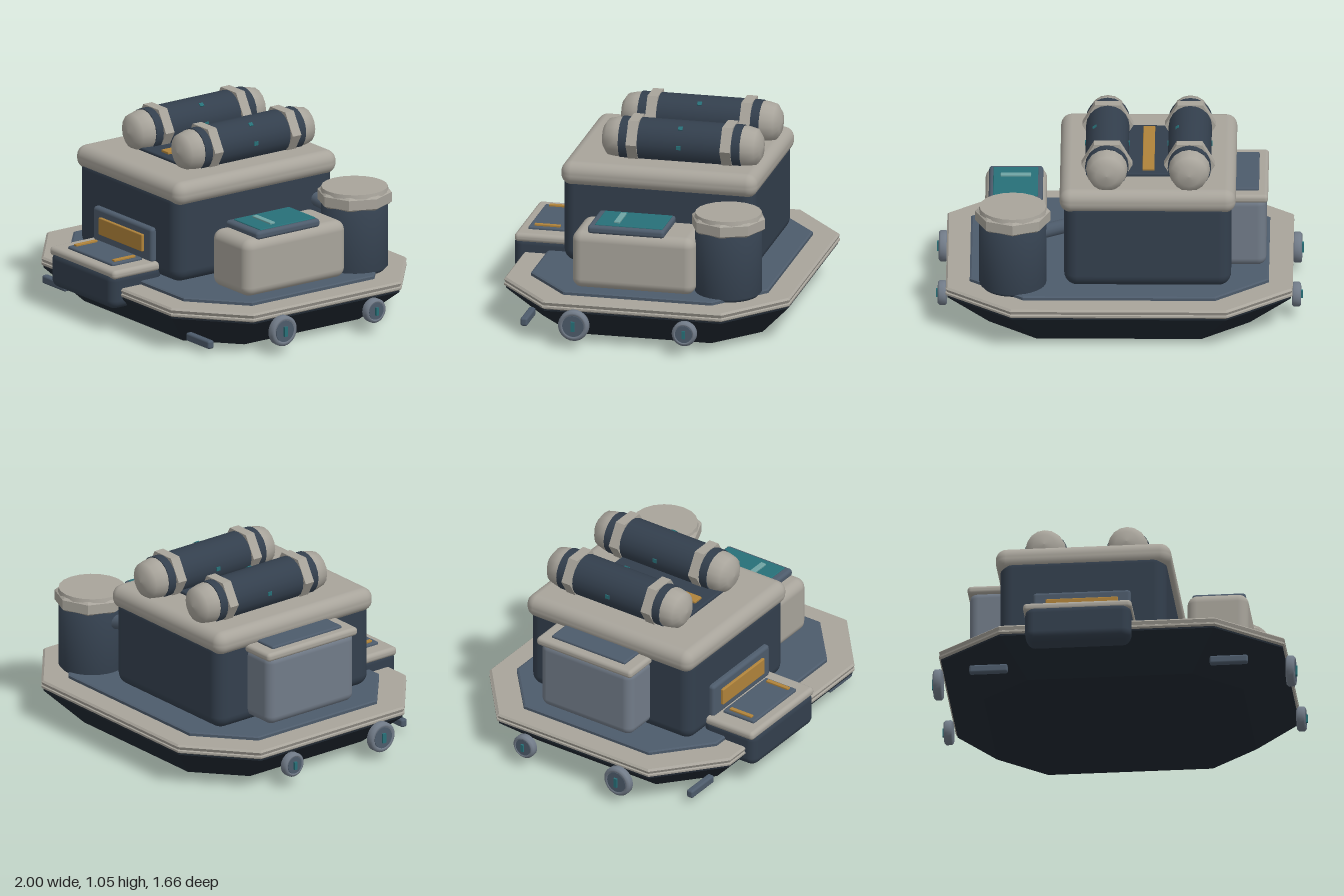
import * as THREE from 'three';
import { RoundedBoxGeometry } from 'three/addons/geometries/RoundedBoxGeometry.js';

const mat = (color, flatShading = false) => new THREE.MeshStandardMaterial({ color, flatShading });
const M = {
  hull: mat(0x202831, true), navy: mat(0x333f4d), slate: mat(0x4d5b6b), steel: mat(0x717b88),
  grey: mat(0xa8a49b), greyFlat: mat(0xa8a49b, true), slateFlat: mat(0x4d5b6b, true),
  ochre: mat(0xb0833a), teal: mat(0x277078), paleTeal: mat(0x6fa3a3),
};

function add(parent, name, geometry, material, x = 0, y = 0, z = 0) {
  const mesh = new THREE.Mesh(geometry, material);
  mesh.name = name;
  mesh.position.set(x, y, z);
  parent.add(mesh);
  return mesh;
}

// Rounded box given by its extents on each axis
function block(parent, name, material, [x0, x1], [y0, y1], [z0, z1], radius = 0.01) {
  const geometry = new RoundedBoxGeometry(x1 - x0, y1 - y0, z1 - z0, 4, radius);
  return add(parent, name, geometry, material, (x0 + x1) / 2, (y0 + y1) / 2, (z0 + z1) / 2);
}

// Closed solid through octagonal sections [y, halfX, halfZ, chamferX, chamferZ]
function octagonLoft(sections) {
  const rings = sections.map(([y, hx, hz, cx, cz]) => [
    [hx, cz], [hx, -cz], [cx, -hz], [-cx, -hz], [-hx, -cz], [-hx, cz], [-cx, hz], [cx, hz],
  ].map(([x, z]) => [x, y, z]));
  const pos = [];
  const bottom = [0, sections[0][0], 0];
  const top = [0, sections[sections.length - 1][0], 0];
  for (let i = 0; i < 8; i++) {
    const j = (i + 1) % 8;
    for (let k = 0; k < rings.length - 1; k++) {
      const a = rings[k], b = rings[k + 1];
      pos.push(...a[i], ...a[j], ...b[j], ...a[i], ...b[j], ...b[i]);
    }
    const last = rings[rings.length - 1];
    pos.push(...rings[0][j], ...rings[0][i], ...bottom, ...last[i], ...last[j], ...top);
  }
  const geometry = new THREE.BufferGeometry();
  geometry.setAttribute('position', new THREE.Float32BufferAttribute(pos, 3));
  geometry.computeVertexNormals();
  return geometry;
}

// Gas cylinder lying along z, with hexagonal straps and domed ends
function gasCylinder() {
  const g = new THREE.Group();
  g.name = 'gasCylinder';
  const along = (geometry) => geometry.rotateX(Math.PI / 2);
  add(g, 'cylinderBody', along(new THREE.CylinderGeometry(0.118, 0.118, 0.68, 20)), M.navy);
  const dome = [[0.114, 0], [0.112, 0.03], [0.1, 0.08], [0.06, 0.107], [0, 0.115]]
    .map(([r, h]) => new THREE.Vector2(r, h));
  for (const s of [1, -1]) {
    const cap = add(g, 'domedEnd', along(new THREE.LatheGeometry(dome, 16)), M.grey, 0, 0, s * 0.335);
    if (s < 0) cap.rotation.y = Math.PI;
    const strap = new THREE.CylinderGeometry(0.139, 0.139, 0.058, 6).rotateY(Math.PI / 2);
    add(g, 'strap', along(strap), M.greyFlat, 0, 0, s * 0.263);
  }
  for (const a of [0, 0.95, Math.PI]) {
    const dot = add(g, 'indicator', new THREE.BoxGeometry(0.012, 0.022, 0.025), M.teal,
      0.116 * Math.cos(a), 0.116 * Math.sin(a), 0);
    dot.rotation.z = a;
  }
  return g;
}

export function createModel() {
  const model = new THREE.Group();
  model.name = 'utilityRaft';

  // Hull and deck
  const base = new THREE.Group();
  base.name = 'base';
  base.position.z = -0.03;
  model.add(base);
  add(base, 'hull', octagonLoft([
    [0, 0.71, 0.615, 0.45, 0.39], [0.19, 0.935, 0.79, 0.585, 0.495], [0.205, 0.935, 0.79, 0.585, 0.495],
  ]), M.hull);
  add(base, 'deckRim', octagonLoft([
    [0.2, 0.935, 0.79, 0.585, 0.495], [0.208, 0.945, 0.8, 0.592, 0.502],
    [0.218, 0.945, 0.8, 0.592, 0.502], [0.222, 0.937, 0.793, 0.587, 0.497],
    [0.24, 0.945, 0.8, 0.592, 0.502], [0.25, 0.935, 0.79, 0.585, 0.495],
  ]), M.greyFlat);
  add(base, 'deckFloor', octagonLoft([
    [0.24, 0.815, 0.665, 0.525, 0.415], [0.265, 0.815, 0.665, 0.525, 0.415],
    [0.27, 0.805, 0.655, 0.52, 0.41],
  ]), M.slateFlat);
  for (const s of [1, -1]) {
    block(model, 'frontSkid', M.slate, s > 0 ? [0.55, 0.76] : [-0.765, -0.555], [0.033, 0.08], [0.6, 0.64], 0.012);
  }

  // Side wheels, the front pair larger
  for (const s of [1, -1]) {
    for (const [z, r] of [[0.29, 0.085], [-0.33, 0.068]]) {
      const wheel = new THREE.Group();
      wheel.name = 'wheel';
      wheel.position.set(s * 0.965, 0.13, z);
      wheel.rotation.z = -s * Math.PI / 2;
      model.add(wheel);
      const tyre = [[0, -0.025], [r - 0.01, -0.025], [r, -0.015], [r, 0.015], [r - 0.01, 0.025],
        [r * 0.74, 0.025], [r * 0.7, 0.018], [0, 0.018]].map(([x, y]) => new THREE.Vector2(x, y));
      add(wheel, 'tyre', new THREE.LatheGeometry(tyre, 28), M.steel);
      add(wheel, 'hub', new THREE.CylinderGeometry(r * 0.7, r * 0.7, 0.012, 28), M.slate, 0, 0.018, 0);
      add(wheel, 'hubLight', new THREE.BoxGeometry(r * 0.65, 0.012, r * 0.25), M.teal, 0, 0.029, 0);
    }
  }

  // Cabin, roof and front panel
  block(model, 'cabin', M.navy, [-0.61, 0.3], [0.262, 0.78], [-0.56, 0.515], 0.07);
  block(model, 'roof', M.grey, [-0.635, 0.325], [0.705, 0.838], [-0.575, 0.525], 0.06);
  block(model, 'roofPanel', M.navy, [-0.4, 0.09], [0.82, 0.855], [-0.35, 0.298]);
  block(model, 'roofStripe', M.ochre, [-0.19, -0.125], [0.845, 0.868], [-0.31, 0.255], 0.004);
  block(model, 'frontPanel', M.slate, [-0.425, 0.11], [0.345, 0.542], [0.49, 0.545], 0.018);
  block(model, 'frontWindow', M.ochre, [-0.355, 0.042], [0.397, 0.495], [0.53, 0.56], 0.006);
  for (const x of [-0.382, 0.068]) {
    const cylinder = gasCylinder();
    cylinder.position.set(x, 0.928, -0.11);
    model.add(cylinder);
  }

  // Front locker
  block(model, 'frontLocker', M.navy, [-0.445, 0.135], [0.13, 0.34], [0.48, 0.828], 0.05);
  block(model, 'frontLockerLid', M.grey, [-0.455, 0.14], [0.305, 0.355], [0.5, 0.822], 0.022);
  block(model, 'frontLockerPanel', M.slate, [-0.36, 0.05], [0.34, 0.37], [0.56, 0.765]);
  for (const x of [-0.33, 0.018]) {
    block(model, 'lockerStrip', M.ochre, [x - 0.012, x + 0.012], [0.36, 0.38], [0.59, 0.735], 0.003);
  }

  // Crate on the right-hand deck
  block(model, 'rightCrate', M.steel, [-0.8, -0.56], [0.3, 0.71], [-0.355, 0.25], 0.05);
  block(model, 'rightCrateLid', M.grey, [-0.81, -0.58], [0.685, 0.733], [-0.37, 0.26], 0.02);
  block(model, 'rightCratePanel', M.slate, [-0.76, -0.6], [0.72, 0.747], [-0.3, 0.187]);

  // Console on the left-hand deck
  block(model, 'console', M.grey, [0.4, 0.735], [0.262, 0.587], [-0.325, 0.362], 0.055);
  block(model, 'consoleFrame', M.slate, [0.42, 0.715], [0.575, 0.622], [-0.155, 0.275], 0.018);
  block(model, 'consoleScreen', M.teal, [0.447, 0.692], [0.61, 0.628], [-0.14, 0.237], 0.005);
  block(model, 'consoleHandle', M.paleTeal, [0.485, 0.652], [0.62, 0.638], [0.107, 0.14], 0.004);

  // Tank with octagonal cap, piped to the cabin
  const tank = new THREE.Group();
  tank.name = 'tank';
  tank.position.set(0.58, 0, -0.485);
  model.add(tank);
  const shell = [[0, 0.25], [0.165, 0.25], [0.183, 0.27], [0.183, 0.64], [0, 0.64]]
    .map(([x, y]) => new THREE.Vector2(x, y));
  add(tank, 'tankBody', new THREE.LatheGeometry(shell, 32), M.navy);
  add(tank, 'tankCap', new THREE.CylinderGeometry(0.205, 0.205, 0.055, 8), M.greyFlat, 0, 0.662, 0);
  add(tank, 'tankCapBevel', new THREE.CylinderGeometry(0.19, 0.205, 0.012, 8), M.greyFlat, 0, 0.695, 0);
  add(tank, 'tankCapSkirt', new THREE.CylinderGeometry(0.205, 0.19, 0.012, 8), M.greyFlat, 0, 0.629, 0);
  add(tank, 'tankLid', new THREE.CylinderGeometry(0.182, 0.188, 0.03, 20), M.grey, 0, 0.702, 0);
  const pipePath = new THREE.LineCurve3(new THREE.Vector3(0.25, 0.59, -0.43), new THREE.Vector3(0.45, 0.55, -0.465));
  add(model, 'pipe', new THREE.TubeGeometry(pipePath, 1, 0.04, 14), M.slate);

  return model;
}
